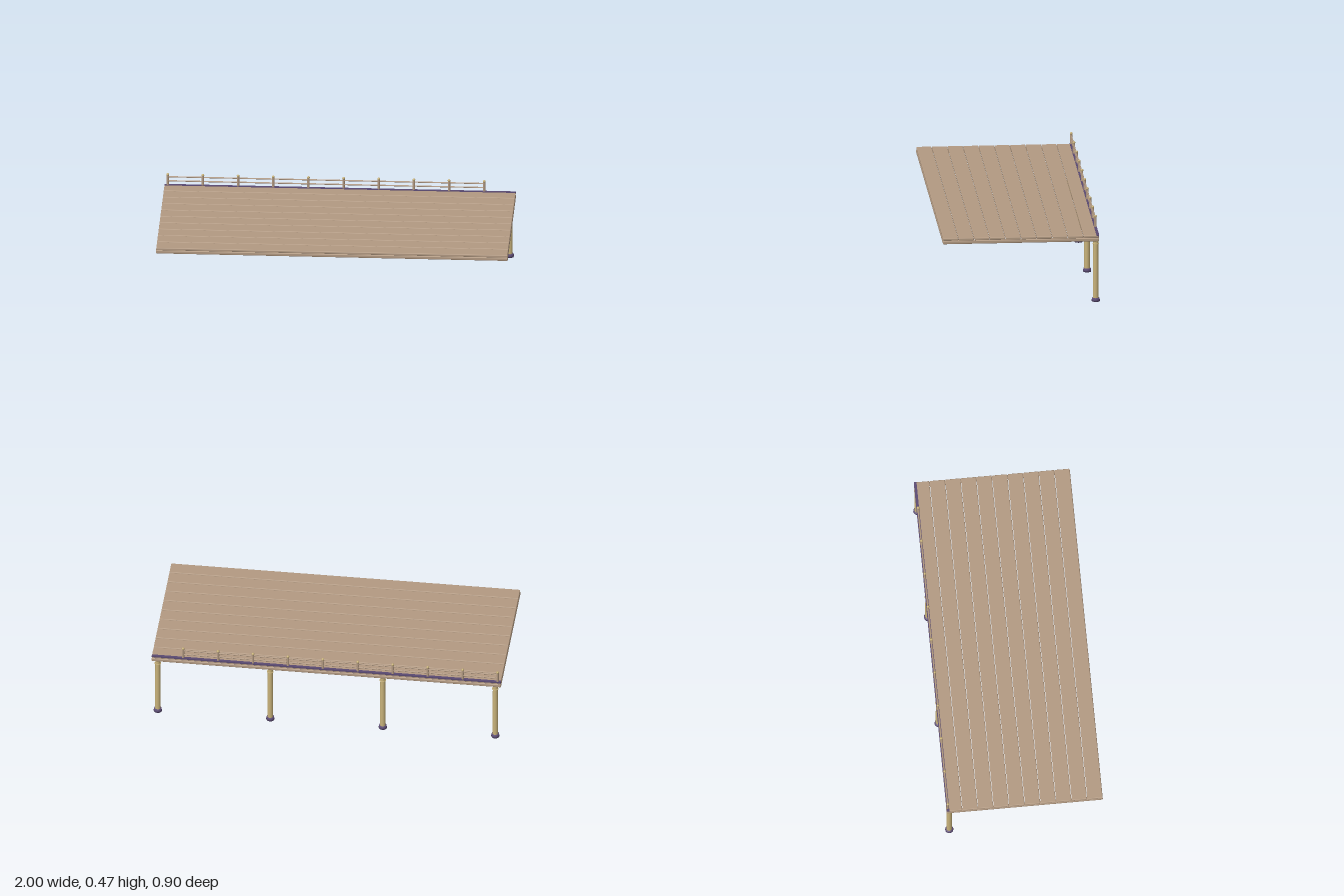
import * as THREE from 'three';
import { RoundedBoxGeometry } from 'three/addons/geometries/RoundedBoxGeometry.js';

const wood = new THREE.MeshStandardMaterial({ name: 'brown wood', color: 0xb39a82 });
const paleWood = new THREE.MeshStandardMaterial({ name: 'straw wood', color: 0xc8b27a });
const purple = new THREE.MeshStandardMaterial({ name: 'dark purple', color: 0x5a4a72 });

export function createModel() {
  const model = new THREE.Group();
  model.name = 'deck';

  const add = (parent, name, geometry, material, x, y, z) => {
    const mesh = new THREE.Mesh(geometry, material);
    mesh.name = name;
    mesh.position.set(x, y, z);
    parent.add(mesh);
    return mesh;
  };
  const beam = (w, h, d, r = 0.005) => new RoundedBoxGeometry(w, h, d, 2, r);
  const lathe = (points, sides) =>
    new THREE.LatheGeometry(points.map(([r, y]) => new THREE.Vector2(r, y)), sides);

  // Deck planks running along x
  const front = 0.448, back = -0.442, count = 10;
  const pitch = (front - back) / count;
  const plank = beam(1.998, 0.015, pitch - 0.003, 0.004);
  for (let i = 0; i < count; i++) {
    add(model, 'plank', plank, wood, 0, 0.3865, front - pitch * (i + 0.5));
  }

  // Supporting frame: four long joists and two end beams
  const joist = beam(1.998, 0.02, 0.02);
  for (let i = 0; i < 4; i++) {
    const z = front - 0.01 - (i * (front - back - 0.02)) / 3;
    add(model, 'joist', joist, wood, 0, 0.369, z);
  }
  const endBeam = beam(0.02, 0.0202, front - back);
  for (const side of [-1, 1]) {
    add(model, 'endBeam', endBeam, wood, side * 0.99, 0.369, (front + back) / 2);
  }

  // Pillars along the back edge, with foot and collar
  const shaft = lathe([[0.0165, 0.015], [0.0165, 0.2], [0.0148, 0.29], [0.0145, 0.36]], 16);
  const foot = lathe([[0, 0], [0.0235, 0], [0.0235, 0.009], [0.0205, 0.02], [0, 0.02]], 12);
  const collar = new THREE.TorusGeometry(0.0165, 0.003, 6, 20).rotateX(Math.PI / 2);
  for (const x of [-0.966, -0.322, 0.322, 0.966]) {
    const pillar = new THREE.Group();
    pillar.name = 'pillar';
    pillar.position.set(x, 0, -0.425);
    add(pillar, 'shaft', shaft, paleWood, 0, 0, 0);
    const footMesh = add(pillar, 'foot', foot, purple, 0, 0, 0);
    footMesh.material = purple;
    add(pillar, 'collar', collar, paleWood, 0, 0.338, 0);
    model.add(pillar);
  }

  // Edge strip below the railing
  const railZ = -0.4345;
  add(model, 'edgeStrip', new THREE.BoxGeometry(1.998, 0.008, 0.0155), purple, 0, 0.393, railZ);

  // Railing posts with round caps
  const post = new THREE.CylinderGeometry(0.007, 0.007, 0.06, 10);
  const cap = new THREE.SphereGeometry(0.008, 12, 8);
  for (let i = 0; i < 10; i++) {
    const x = -0.98 + i * 0.2;
    add(model, 'railPost', post, wood, x, 0.425, railZ);
    add(model, 'railCap', cap, paleWood, x, 0.459, railZ);
  }

  // Two horizontal rails
  const rail = new THREE.CylinderGeometry(0.004, 0.004, 1.8, 8).rotateZ(Math.PI / 2);
  for (const y of [0.42, 0.445]) add(model, 'rail', rail, wood, -0.08, y, railZ);

  return model;
}
